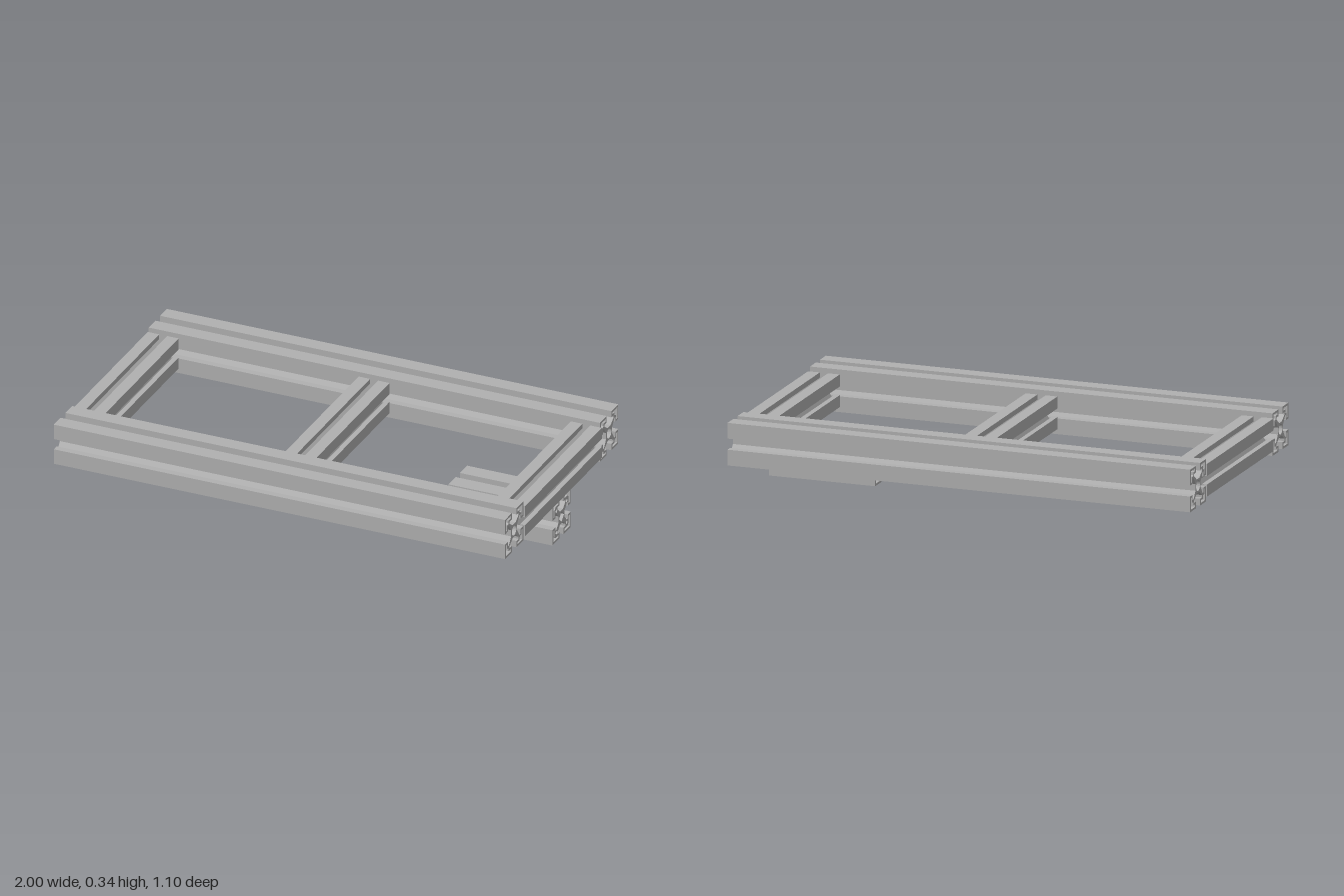
import * as THREE from 'three';

const aluminium = new THREE.MeshStandardMaterial({ color: 0xb0b0b0 });
aluminium.name = 'aluminium';

// Turns a point list into all four quarter-turn copies, scaled by s.
const turn = ([x, y], k, s) => {
  for (let i = 0; i < k; i++) [x, y] = [-y, x];
  return new THREE.Vector2(x * s, y * s);
};
const QUARTERS = [0, 1, 2, 3];

// Hollow T-slot section: half width s, slot opening, cavity half width.
function slotSection(s, slot, cavity, ringed) {
  // One side of the outline, from its lower corner up
  const half = [[0.33, 0.16], [0.57, cavity], [0.68, cavity], [0.68, slot], [1, slot]];
  const side = [[1, -1], ...half.map(([x, y]) => [x, -y]).reverse(), ...half];
  const shape = new THREE.Shape(QUARTERS.flatMap(k => side.map(p => turn(p, k, s))));

  // Hollow in each corner, mirrored about the diagonal
  const a = slot + 0.1;
  const arm = ringed
    ? [[0.9, a], [0.78, a], [0.78, 0.66], [0.7, 0.7]]
    : [[0.9, a], [0.78, a], [0.78, 0.6], [0.65, 0.6]];
  const corner = [[0.9, 0.9], ...arm, ...arm.map(([x, y]) => [y, x]).reverse()];
  if (ringed) corner.splice(4, 1);
  for (const k of QUARTERS) {
    shape.holes.push(new THREE.Path(corner.map(p => turn(p, k, s))));
    if (ringed) {
      const c = turn([0.55, 0.55], k, s);
      shape.holes.push(new THREE.Path().absarc(c.x, c.y, 0.09 * s, 0, Math.PI * 2, true));
    }
  }

  // Centre bore: round, or a diamond in the ringed section
  shape.holes.push(ringed
    ? new THREE.Path(QUARTERS.map(k => turn([0.27, 0], k, s)))
    : new THREE.Path().absarc(0, 0, 0.25 * s, 0, Math.PI * 2, true));
  return shape;
}

// Bar of the given section, centred on its length along z.
function bar(name, section, length) {
  const geometry = new THREE.ExtrudeGeometry(section, {
    depth: length, bevelEnabled: false, curveSegments: 10,
  });
  geometry.translate(0, 0, -length / 2);
  const mesh = new THREE.Mesh(geometry, aluminium);
  mesh.name = name;
  return mesh;
}

export function createModel() {
  const group = new THREE.Group();
  group.name = 'extrusionFrame';

  // Long side rails
  const railSection = slotSection(0.0885, 0.26, 0.5, false);
  for (const [name, z] of [['frontRail', 0.46], ['backRail', -0.46]]) {
    const rail = bar(name, railSection, 1.988);
    rail.rotation.y = Math.PI / 2;
    rail.position.set(-0.002, 0.247, z);
    group.add(rail);
  }

  // Cross members between the rails
  const crossSection = slotSection(0.068, 0.26, 0.5, false);
  for (const [name, x] of [['rightCrossMember', -0.932], ['middleCrossMember', -0.003], ['leftCrossMember', 0.932]]) {
    const cross = bar(name, crossSection, 0.743);
    cross.position.set(x, 0.247, 0);
    group.add(cross);
  }

  // Short bar hung under the end cross member
  const hanger = bar('hangingBar', slotSection(0.089, 0.22, 0.42, true), 0.457);
  hanger.rotation.y = Math.PI / 2;
  hanger.position.set(0.763, 0.089, 0);
  group.add(hanger);

  return group;
}
